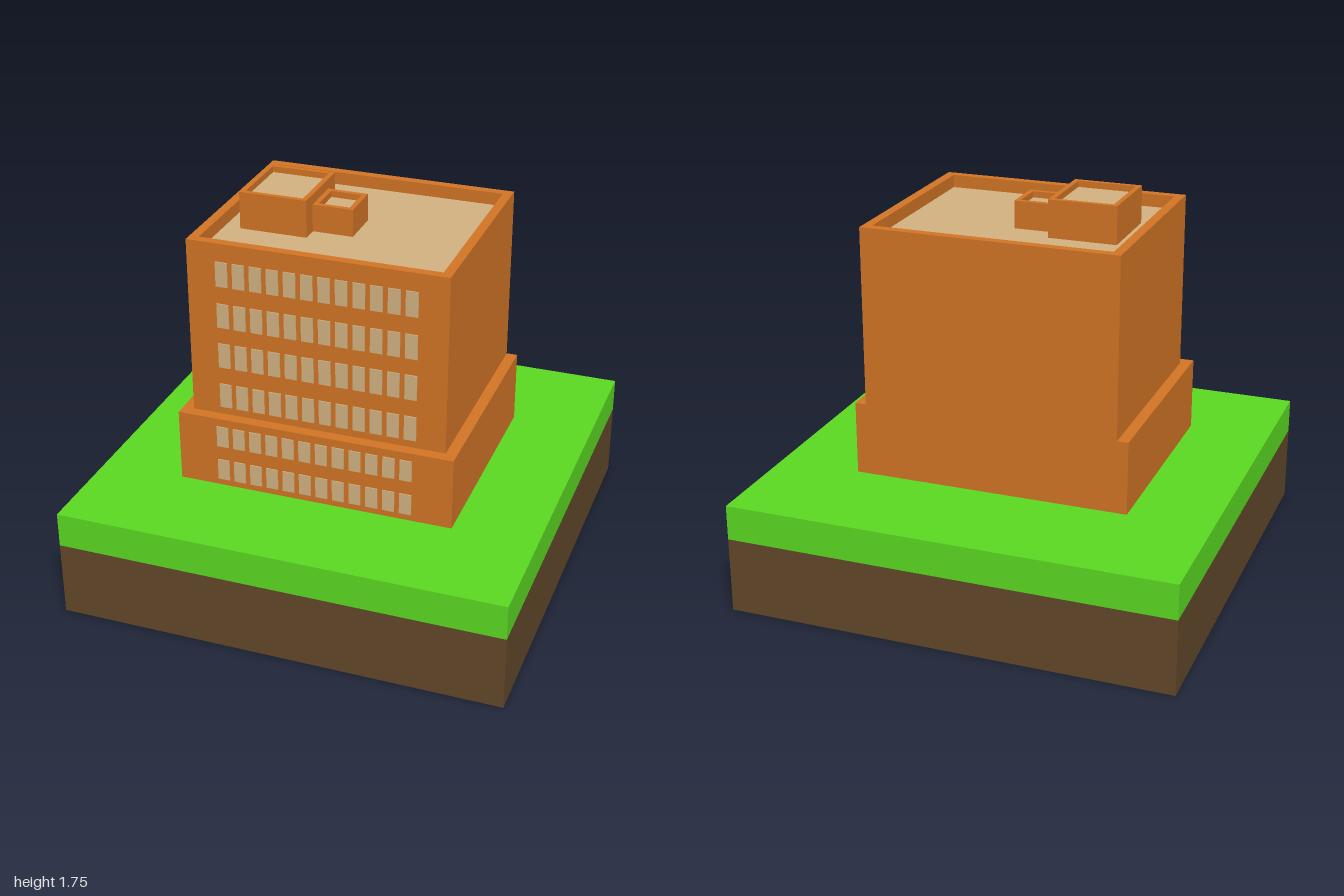
import * as THREE from 'three';

const mat = (color) => new THREE.MeshStandardMaterial({ color });

export function createModel() {
  const model = new THREE.Group();
  model.name = 'officeBuilding';
  const brick = mat(0xd47626), sand = mat(0xd4b482);
  const grass = mat(0x5cdb22), soil = mat(0x63492a);

  // Box given by its limits on each axis
  const block = (name, material, [x0, x1], [y0, y1], [z0, z1], parent = model) => {
    const mesh = new THREE.Mesh(new THREE.BoxGeometry(x1 - x0, y1 - y0, z1 - z0), material);
    mesh.position.set((x0 + x1) / 2, (y0 + y1) / 2, (z0 + z1) / 2);
    mesh.name = name;
    parent.add(mesh);
    return mesh;
  };

  // Rectangular rim around a sunken flat roof
  const rim = (name, [x0, x1], [y0, y1], [z0, z1], t, parent) => {
    const shape = new THREE.Shape([[x0, -z1], [x1, -z1], [x1, -z0], [x0, -z0]]
      .map(([x, y]) => new THREE.Vector2(x, y)));
    shape.holes.push(new THREE.Path([[x0 + t, -z1 + t], [x0 + t, -z0 - t], [x1 - t, -z0 - t], [x1 - t, -z1 + t]]
      .map(([x, y]) => new THREE.Vector2(x, y))));
    const geo = new THREE.ExtrudeGeometry(shape, { depth: y1 - y0, bevelEnabled: false });
    geo.rotateX(-Math.PI / 2).translate(0, y0, 0);
    const mesh = new THREE.Mesh(geo, brick);
    mesh.name = name;
    parent.add(mesh);
  };

  // Walled volume with parapet and sand-coloured roof deck
  const walled = (name, xs, [y0, y1], zs, thickness, sunk) => {
    const group = new THREE.Group();
    group.name = name;
    model.add(group);
    const deckY = y1 - sunk;
    block(name + 'Walls', brick, xs, [y0, deckY], zs, group);
    rim(name + 'Parapet', xs, [deckY, y1], zs, thickness, group);
    const deck = new THREE.Mesh(
      new THREE.PlaneGeometry(xs[1] - xs[0] - 2 * thickness, zs[1] - zs[0] - 2 * thickness), sand);
    deck.rotation.x = -Math.PI / 2;
    deck.position.set((xs[0] + xs[1]) / 2, deckY + 0.002, (zs[0] + zs[1]) / 2);
    deck.name = name + 'RoofDeck';
    group.add(deck);
  };

  // Ground
  block('soil', soil, [-1, 1], [0, 0.342], [-1, 1]);
  block('grass', grass, [-1, 1], [0.342, 0.5], [-1, 1]);

  // Building, with its back wall flush from base to tower
  block('base', brick, [-0.625, 0.625], [0.5, 0.83], [-0.485, 0.535]);
  walled('tower', [-0.575, 0.575], [0.83, 1.635], [-0.485, 0.483], 0.042, 0.06);
  walled('largeRoofHouse', [-0.46, -0.155], [1.575, 1.745], [-0.173, 0.178], 0.022, 0.03);
  walled('smallRoofHouse', [-0.155, 0.027], [1.575, 1.7], [-0.09, 0.103], 0.022, 0.03);

  // Window rows: bottom, top, wall face
  const rows = [
    [0.53, 0.628, 0.535], [0.695, 0.793, 0.535],
    [0.865, 0.978, 0.483], [1.058, 1.172, 0.483], [1.248, 1.36, 0.483], [1.44, 1.553, 0.483],
  ];
  const windows = new THREE.Group();
  windows.name = 'windows';
  model.add(windows);
  for (const [y0, y1, z] of rows) {
    for (let i = 0; i < 12; i++) {
      const x = -0.418 + i * 0.076;
      block('window', sand, [x - 0.027, x + 0.027], [y0, y1], [z - 0.005, z + 0.005], windows);
    }
  }
  return model;
}
